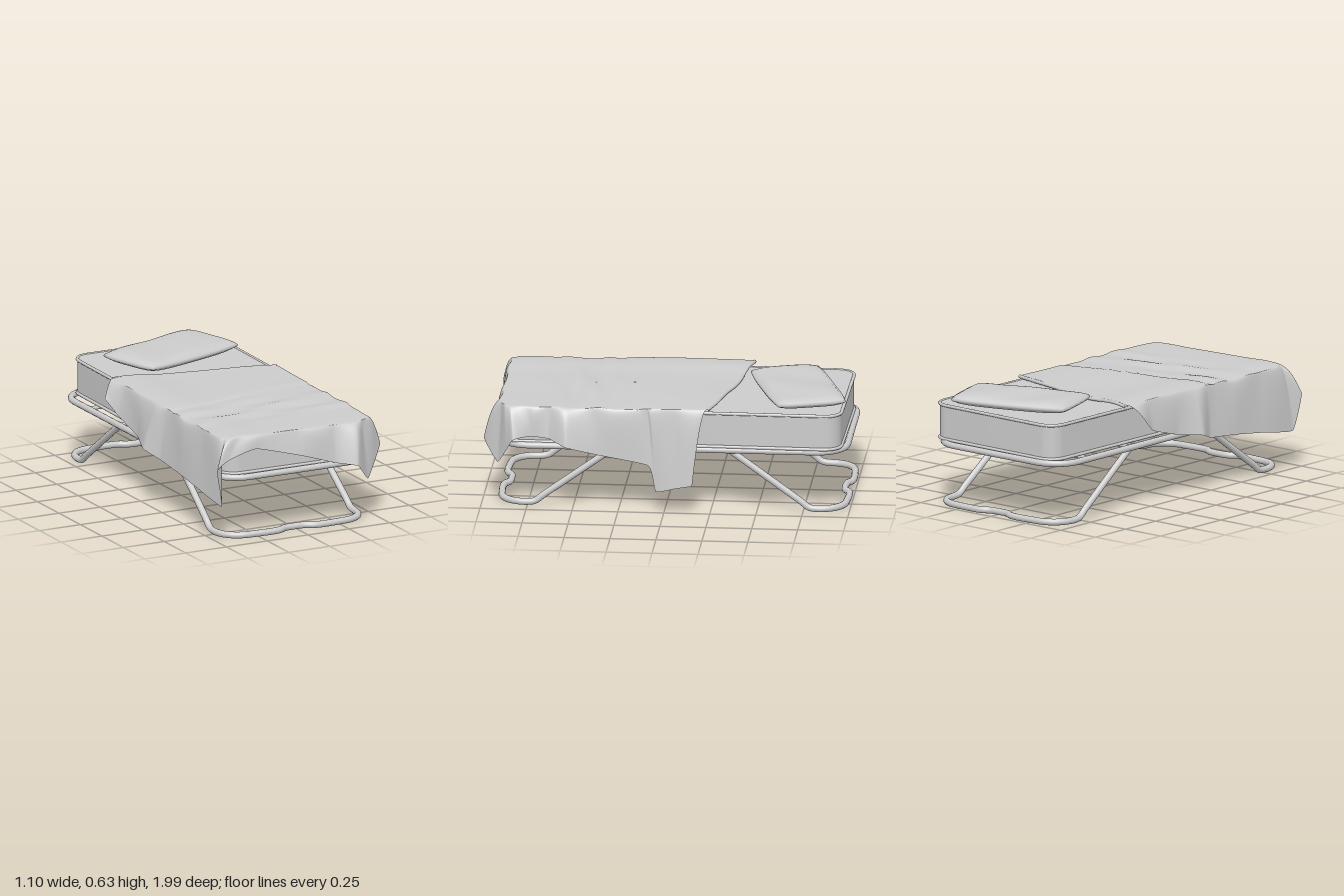
import * as THREE from 'three';
import { mergeVertices, toCreasedNormals } from 'three/addons/utils/BufferGeometryUtils.js';

const CX = -0.017, CZ = -0.037; // middle of the bed frame
const V = (x, y, z) => new THREE.Vector3(x, y, z);
const grey = new THREE.MeshStandardMaterial({ color: 0xcccccc });
const cloth = new THREE.MeshStandardMaterial({ color: 0xcccccc, side: THREE.DoubleSide });

function part(group, name, geometry, material = grey) {
  const mesh = new THREE.Mesh(geometry, material);
  mesh.name = name;
  group.add(mesh);
  return mesh;
}

function tube(points, radius, closed = false, segments = 120) {
  const curve = new THREE.CatmullRomCurve3(points, closed);
  return new THREE.TubeGeometry(curve, segments, radius, 12, closed);
}

function roundedRect(hw, hl, r) {
  const s = new THREE.Shape();
  s.moveTo(-hw + r, -hl);
  s.lineTo(hw - r, -hl);
  s.absarc(hw - r, -hl + r, r, -Math.PI / 2, 0);
  s.lineTo(hw, hl - r);
  s.absarc(hw - r, hl - r, r, 0, Math.PI / 2);
  s.lineTo(-hw + r, hl);
  s.absarc(-hw + r, hl - r, r, Math.PI / 2, Math.PI);
  s.lineTo(-hw, -hl + r);
  s.absarc(-hw + r, -hl + r, r, Math.PI, Math.PI * 1.5);
  return s;
}

// Tube that follows a horizontal rounded rectangle
function rectTube(hw, hl, r, radius) {
  const pts = roundedRect(hw, hl, r).getSpacedPoints(140).slice(0, -1);
  return tube(pts.map((p) => V(p.x, 0, p.y)), radius, true, 200);
}

// U-shaped leg with a small inward kink in the middle of the foot
function legPoints(dir) {
  const half = [
    [0.421, 0.335, 0.315], [0.422, 0.26, 0.42], [0.426, 0.13, 0.602], [0.429, 0.06, 0.70],
    [0.43, 0.026, 0.745], [0.43, 0.019, 0.79], [0.421, 0.019, 0.845], [0.389, 0.019, 0.896],
    [0.335, 0.019, 0.928], [0.27, 0.019, 0.937], [0.11, 0.019, 0.937], [0.06, 0.019, 0.912],
  ];
  const side = (s) => half.map(([x, y, z]) => V(CX + s * x, y, CZ + dir * z));
  return [...side(1), V(CX, 0.019, CZ + dir * 0.908), ...side(-1).reverse()];
}

// Height of the blanket where it lies on the mattress
function blanketHeight(x, z) {
  const fold = 0.21 - 0.18 * x;
  const layer = 0.007 * (1 - THREE.MathUtils.smoothstep(z, fold - 0.015, fold + 0.015));
  const ridge = Math.exp(-(((z - 0.45) / 0.17) ** 2));
  const wrinkles = ridge * (0.006 * Math.sin(30 * z + 4 * x + 1.6 * Math.sin(4 * x))
    + 0.002 * Math.sin(47 * z - 6 * x + 1));
  const soft = 0.002 * Math.sin(9 * x + 3 * z) + 0.002 * Math.sin(7 * z - 4 * x);
  const lift = 0.01 * Math.exp(-(((x + 0.36) / 0.12) ** 2));
  return 0.575 + layer + wrinkles + soft + lift;
}

// Blanket: strips run from a middle spine to the mattress edge, then fall to the hem
function blanketGeometry() {
  // edge x, edge z, hem x, hem y, hem z
  const rim = [
    [-0.46, -0.41, -0.54, 0.495, -0.34], [-0.465, -0.25, -0.51, 0.42, -0.24],
    [-0.465, -0.05, -0.505, 0.36, -0.03], [-0.465, 0.13, -0.553, 0.335, 0.13],
    [-0.465, 0.24, -0.505, 0.295, 0.24], [-0.465, 0.45, -0.505, 0.275, 0.45],
    [-0.465, 0.68, -0.505, 0.245, 0.68], [-0.46, 0.84, -0.495, 0.21, 0.935],
    [-0.42, 0.88, -0.537, 0.42, 0.96], [-0.36, 0.895, -0.45, 0.47, 0.945],
    [-0.24, 0.90, -0.28, 0.505, 0.93], [0, 0.90, 0, 0.43, 0.94],
    [0.18, 0.90, 0.20, 0.365, 0.945], [0.33, 0.895, 0.31, 0.345, 0.995],
    [0.40, 0.885, 0.415, 0.24, 0.91], [0.44, 0.84, 0.535, 0.40, 0.82],
    [0.45, 0.73, 0.485, 0.41, 0.73], [0.455, 0.63, 0.485, 0.40, 0.63],
    [0.455, 0.53, 0.55, 0.37, 0.53], [0.455, 0.36, 0.49, 0.315, 0.36],
    [0.455, 0.12, 0.485, 0.26, 0.085], [0.455, 0.08, 0.487, 0.115, 0.045],
    [0.455, -0.07, 0.51, 0.14, -0.06], [0.455, -0.23, 0.52, 0.16, -0.155],
  ];
  const edge = new THREE.CatmullRomCurve3(rim.map((r) => V(r[0], 0, r[1])), false, 'catmullrom', 0.4);
  const hem = new THREE.CatmullRomCurve3(rim.map((r) => V(r[2], r[3], r[4])), false, 'catmullrom', 0.2);
  const N = 276, TOP = 40, DROP = 18, M = TOP + DROP;
  const pos = [], index = [];
  for (let k = 0; k <= N; k++) {
    const e = edge.getPoint(k / N), h = hem.getPoint(k / N);
    const back = e.x < 0 ? -0.41 : -0.23;
    const spineZ = THREE.MathUtils.mapLinear(Math.min(e.z, 0.6), back, 0.6, -0.335, 0.6);
    const edgeY = blanketHeight(e.x, e.z) - 0.004;
    // shoulder keeps the cloth round where it turns down
    const shoulder = V(e.x + (h.x - e.x) * 0.45, edgeY, e.z + (h.z - e.z) * 0.45);
    const fall = new THREE.QuadraticBezierCurve3(V(e.x, edgeY, e.z), shoulder, h);
    for (let j = 0; j <= M; j++) {
      if (j <= TOP) {
        const t = j / TOP, x = e.x * t, z = spineZ + (e.z - spineZ) * t;
        pos.push(x, blanketHeight(x, z) - 0.004 * t ** 6, z);
      } else {
        const t = (j - TOP) / DROP, p = fall.getPoint(t);
        const wave = 0.006 * Math.sin(k * 0.33) * Math.sin(Math.PI * t);
        pos.push(p.x + Math.sign(p.x) * wave, p.y, p.z + (e.z > 0.86 ? wave : 0));
      }
      if (k < N && j < M) {
        const a = k * (M + 1) + j, b = a + M + 1;
        index.push(a, a + 1, b, b, a + 1, b + 1);
      }
    }
  }
  let geo = new THREE.BufferGeometry();
  geo.setAttribute('position', new THREE.Float32BufferAttribute(pos, 3));
  geo.setIndex(index);
  geo = mergeVertices(geo, 1e-4);
  geo.computeVertexNormals();
  return geo;
}

// Pillow: a box swollen in the middle and thin at its seam
function pillowGeometry() {
  let geo = new THREE.BoxGeometry(2, 2, 2, 28, 2, 20);
  const p = geo.attributes.position;
  for (let i = 0; i < p.count; i++) {
    const u = p.getX(i), s = p.getY(i), v = p.getZ(i);
    const puff = Math.sqrt((1 - u ** 6) * (1 - v ** 4));
    const crease = 0.004 * Math.sin(5 * u + 2 * v) * puff;
    const seam = s === 0 ? 1 : 0.975;
    p.setXYZ(i, 0.347 * u * seam * (1 - 0.05 * v ** 4),
      s * (0.01 + 0.024 * puff) + (s > 0 ? crease : 0) + 0.004 * u * u,
      0.202 * v * seam * (1 - 0.07 * u ** 4));
  }
  geo.deleteAttribute('uv');
  geo.deleteAttribute('normal');
  geo = mergeVertices(geo, 1e-5);
  geo.computeVertexNormals();
  return geo;
}

export function createModel() {
  const bed = new THREE.Group();
  bed.name = 'foldingBed';

  // Tubular frame, cross bars and legs
  part(bed, 'frame', rectTube(0.457, 0.944, 0.165, 0.018)).position.set(CX, 0.347, CZ);
  for (const z of [-0.655, -0.305, 0.305, 0.655]) {
    const bar = part(bed, 'crossBar', new THREE.CylinderGeometry(0.011, 0.011, 0.91, 12));
    bar.rotation.z = Math.PI / 2;
    bar.position.set(CX, 0.337, CZ + z);
  }
  part(bed, 'frontLeg', tube(legPoints(1), 0.0185, false, 180));
  part(bed, 'backLeg', tube(legPoints(-1), 0.0185, false, 180));

  // Mattress with piping along both rims, lying slightly askew on the frame
  const mattress = new THREE.Group();
  mattress.name = 'mattress';
  mattress.position.set(0.006, 0, CZ);
  mattress.rotation.y = -0.014;
  bed.add(mattress);
  const block = new THREE.ExtrudeGeometry(roundedRect(0.432, 0.922, 0.09),
    { depth: 0.2, bevelEnabled: false, curveSegments: 14 });
  block.rotateX(-Math.PI / 2);
  part(mattress, 'mattressBlock', toCreasedNormals(block, 0.6)).position.y = 0.358;
  for (const y of [0.366, 0.554]) {
    part(mattress, 'mattressPiping', rectTube(0.434, 0.924, 0.092, 0.009)).position.y = y;
  }

  // Pillow, turned a little on the mattress
  const pillow = part(bed, 'pillow', pillowGeometry());
  pillow.position.set(0.05, 0.594, -0.694);
  pillow.rotation.y = 0.31;

  // Blanket and its rolled back edge
  part(bed, 'blanket', blanketGeometry(), cloth);
  const roll = [];
  for (let i = 0; i <= 16; i++) {
    const x = -0.46 + (0.915 * i) / 16;
    const z = x < 0 ? -0.335 + 0.163 * x : -0.335 + 0.231 * x;
    roll.push(V(x, blanketHeight(x, z) - 0.01, z + 0.004 * Math.sin(15 * x)));
  }
  part(bed, 'blanketBackEdge', tube(roll, 0.01, false, 60));

  return bed;
}
